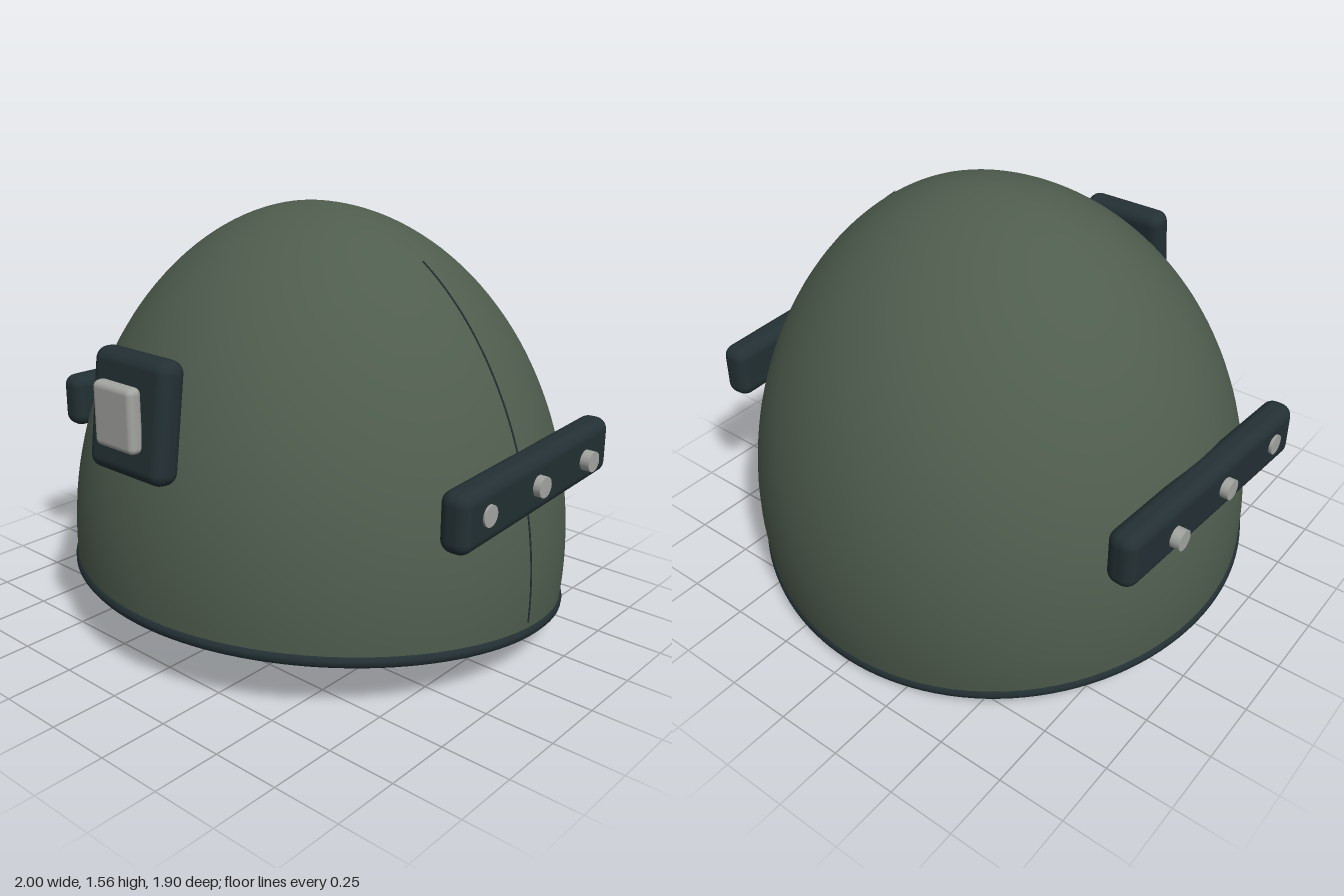
import * as THREE from 'three';
import { RoundedBoxGeometry } from 'three/addons/geometries/RoundedBoxGeometry.js';

const makeMaterial = (name, color, side = THREE.FrontSide) => {
  const m = new THREE.MeshStandardMaterial({ color, side });
  m.name = name;
  return m;
};

// Shell shape: slightly peaked ellipsoid with a lower edge that drops to the back
const CENTER_Y = 0.3, HEIGHT = 1.265, CENTER_Z = -0.04;

function shellPoint(phi, t, inset = 0) {
  const c = Math.max(Math.cos(t), 0);
  return new THREE.Vector3(
    (0.968 - inset) * c * Math.sin(phi),
    CENTER_Y + (HEIGHT - inset) * Math.sin(t),
    CENTER_Z + (0.91 - inset) * Math.pow(c, 1.15) * Math.cos(phi)
  );
}

function edgeAngle(phi) {
  const u = (1 - Math.cos(phi)) / 2;
  const y = 0.235 - 0.05 * u - 0.16 * u * u;
  return Math.asin((y - CENTER_Y) / HEIGHT);
}

function shellGeometry(inset, inward) {
  const cols = 96, rows = 40, pos = [], idx = [];
  for (let j = 0; j <= rows; j++) {
    for (let i = 0; i < cols; i++) {
      const phi = (i / cols) * Math.PI * 2;
      const t = THREE.MathUtils.lerp(edgeAngle(phi), Math.PI / 2, j / rows);
      pos.push(...shellPoint(phi, t, inset).toArray());
    }
  }
  for (let j = 0; j < rows; j++) {
    for (let i = 0; i < cols; i++) {
      const n = (i + 1) % cols;
      const a = j * cols + i, b = j * cols + n, c = b + cols, d = a + cols;
      if (inward) idx.push(a, c, b, a, d, c);
      else idx.push(a, b, c, a, c, d);
    }
  }
  const g = new THREE.BufferGeometry();
  g.setAttribute('position', new THREE.Float32BufferAttribute(pos, 3));
  g.setIndex(idx);
  g.computeVertexNormals();
  return g;
}

export function createModel() {
  const olive = makeMaterial('olive shell', 0x4f5d4e);
  const dark = makeMaterial('dark fittings', 0x233034);
  const grey = makeMaterial('grey metal', 0xa3a5a1);

  const model = new THREE.Group();
  model.name = 'helmet';
  const add = (name, geometry, material, x = 0, y = 0, z = 0, parent = model) => {
    const mesh = new THREE.Mesh(geometry, material);
    mesh.name = name;
    mesh.position.set(x, y, z);
    parent.add(mesh);
    return mesh;
  };

  // Outer and inner shell
  add('outerShell', shellGeometry(0, false), olive);
  add('innerShell', shellGeometry(0.03, true), olive);

  // Rolled edge around the opening
  const edge = [];
  for (let i = 0; i < 48; i++) {
    const phi = (i / 48) * Math.PI * 2;
    edge.push(shellPoint(phi, edgeAngle(phi), 0.013));
  }
  add('rim', new THREE.TubeGeometry(new THREE.CatmullRomCurve3(edge, true), 128, 0.024, 10, true), dark);

  // Fine seam up one side
  const seam = [];
  for (let i = 0; i <= 16; i++) {
    seam.push(shellPoint(Math.PI / 2, THREE.MathUtils.lerp(-0.07, 1.06, i / 16), 0));
  }
  add('sideSeam', new THREE.TubeGeometry(new THREE.CatmullRomCurve3(seam), 48, 0.004, 5), dark);

  // Front mount: tilted plate with a metal pad
  const plate = add('frontMount', new RoundedBoxGeometry(0.36, 0.41, 0.105, 4, 0.045), dark, 0, 0.97, 0.845);
  plate.rotation.x = -0.13;
  add('mountPad', new RoundedBoxGeometry(0.19, 0.22, 0.055, 4, 0.022), grey, 0, 0.982, 0.92);

  // Rails, bolts and chin straps on both sides
  for (const side of [1, -1]) {
    const group = new THREE.Group();
    group.name = side > 0 ? 'leftFittings' : 'rightFittings';
    model.add(group);

    const rail = add('sideRail', new RoundedBoxGeometry(0.11, 0.21, 1.0, 4, 0.045), dark, side * 0.914, 0.715, -0.08, group);
    rail.rotation.y = side * 0.06;

    for (const z of [0.28, -0.04, -0.36]) {
      const bolt = add('railBolt', new THREE.CylinderGeometry(0.037, 0.037, 0.035, 20), grey, side * 0.9825, 0.72, z, group);
      bolt.rotation.z = Math.PI / 2;
    }

    const path = new THREE.CatmullRomCurve3([
      [0.15, 0.09, 0.44], [0.32, 0.085, 0.4], [0.5, 0.1, 0.34],
      [0.64, 0.2, 0.25], [0.71, 0.36, 0.13], [0.74, 0.53, 0]
    ].map(([x, y, z]) => new THREE.Vector3(side * x, y, z)));
    add('chinStrap', new THREE.TubeGeometry(path, 40, 0.043, 14), dark, 0, 0, 0, group);
    for (const end of [0, 1]) {
      const p = path.getPointAt(end);
      const out = path.getTangentAt(end).multiplyScalar(end ? 1 : -1);
      const cap = add('strapEnd', new THREE.CircleGeometry(0.043, 14), dark, p.x, p.y, p.z, group);
      cap.quaternion.setFromUnitVectors(new THREE.Vector3(0, 0, 1), out);
    }
  }
  return model;
}
